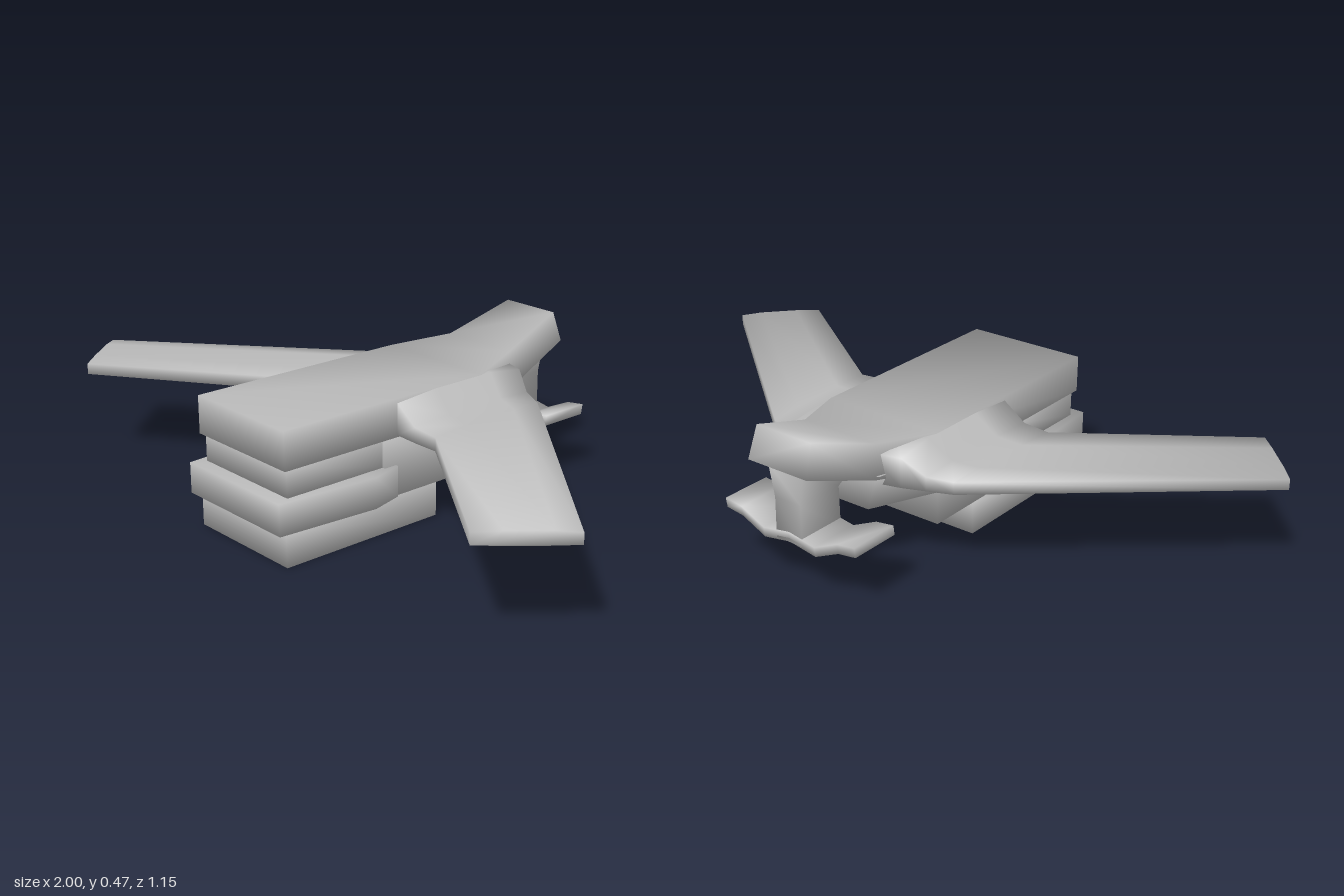
import * as THREE from 'three';
import { toCreasedNormals } from 'three/addons/utils/BufferGeometryUtils.js';

// Skin a row of equal-sized rings of [x, y, z] points, cap both ends and shade it smooth.
function loft(rings) {
  const tris = [];
  const n = rings[0].length;
  for (let i = 0; i < rings.length - 1; i++) {
    for (let j = 0; j < n; j++) {
      const k = (j + 1) % n;
      const a = rings[i][j], b = rings[i][k], c = rings[i + 1][k], d = rings[i + 1][j];
      tris.push([a, b, c], [a, c, d]);
    }
  }
  const first = rings[0], last = rings[rings.length - 1];
  for (let j = 1; j < n - 1; j++) {
    tris.push([first[0], first[j + 1], first[j]], [last[0], last[j], last[j + 1]]);
  }
  // Turn the skin outwards whatever the ring direction.
  const volume = tris.reduce((sum, [a, b, c]) => sum
    + a[0] * (b[1] * c[2] - b[2] * c[1])
    - a[1] * (b[0] * c[2] - b[2] * c[0])
    + a[2] * (b[0] * c[1] - b[1] * c[0]), 0);
  if (volume < 0) tris.forEach((t) => t.reverse());
  const geometry = new THREE.BufferGeometry();
  geometry.setAttribute('position', new THREE.Float32BufferAttribute(tris.flat(2), 3));
  return toCreasedNormals(geometry, Math.PI);
}

// Four-cornered section across the hull; top and bottom edges may differ in z.
const section = (zTop, zBottom, wTop, wBottom, yTop, yBottom) => [
  [-wTop, yTop, zTop], [wTop, yTop, zTop],
  [wBottom, yBottom, zBottom], [-wBottom, yBottom, zBottom],
];

// Blunt-edged wing section between a front point and a back point [x, z].
function wingSection(front, back, bottom, top) {
  const profile = [[0, 0.05], [0, 0.9], [0.3, 1], [0.75, 1],
    [1, 0.85], [1, 0.05], [0.7, 0], [0.25, 0]];
  return profile.map(([t, h]) => [
    THREE.MathUtils.lerp(front[0], back[0], t),
    THREE.MathUtils.lerp(bottom, top, h),
    THREE.MathUtils.lerp(front[1], back[1], t),
  ]);
}

export function createModel() {
  const model = new THREE.Group();
  model.name = 'aircraft';
  const hullGrey = new THREE.MeshStandardMaterial({ color: 0xbcbcbc });
  hullGrey.name = 'hull grey';

  const add = (name, geometry) => {
    const mesh = new THREE.Mesh(geometry, hullGrey);
    mesh.name = name;
    model.add(mesh);
  };
  // Straight block of hull with softly shaded edges
  const block = (name, w, y0, y1, z0, z1) => add(name, loft([
    section(z1, z1, w, w, y1, y0),
    section(z0, z0, w, w, y1, y0),
  ]));

  // Upper deck running back into the raised tail
  add('upperHullAndTail', loft([
    section(0.548, 0.548, 0.19, 0.19, 0.38, 0.27),
    section(-0.15, -0.15, 0.19, 0.19, 0.38, 0.27),
    section(-0.33, -0.35, 0.125, 0.14, 0.395, 0.3),
    section(-0.545, -0.575, 0.095, 0.102, 0.467, 0.375),
  ]));

  // Stepped hull below the deck
  block('recessedBand', 0.18, 0.19, 0.275, 0.2, 0.535);
  block('middleHull', 0.19, 0.1, 0.275, -0.145, 0.21);
  block('keel', 0.19, 0, 0.1, 0.02, 0.548);
  add('rearBelly', loft([
    section(-0.14, -0.14, 0.185, 0.185, 0.3, 0.195),
    section(-0.345, -0.335, 0.14, 0.1, 0.31, 0.195),
  ]));

  // Bulging collar round the nose
  add('noseCollar', loft([
    [0.577, 0.2], [0.27, 0.224], [0.17, 0.198],
  ].map(([z, w]) => section(z, z, w, w, 0.19, 0.1))));

  // Forward-swept wings, blended into the hull shoulders
  for (const side of [1, -1]) {
    const rings = [
      wingSection([0.1, 0.165], [0.1, -0.33], 0.27, 0.38),
      wingSection([0.19, 0.165], [0.19, -0.305], 0.27, 0.378),
      wingSection([0.26, 0.165], [0.25, -0.275], 0.27, 0.322),
      wingSection([0.34, 0.165], [0.32, -0.245], 0.27, 0.315),
      wingSection([0.83, 0.515], [1, 0.32], 0.274, 0.312),
    ].map((ring) => ring.map(([x, y, z]) => [x * side, y, z]));
    add(side > 0 ? 'leftWing' : 'rightWing', loft(rings));
  }

  // Strut hanging under the tail
  add('tailStrut', loft([
    [0.06, 0.31, -0.36, 0.365, -0.545],
    [0.045, 0.27, -0.39, 0.27, -0.54],
    [0.045, 0.15, -0.385, 0.15, -0.54],
  ].map(([w, yFront, zFront, yBack, zBack]) => [
    [-w, yFront, zFront], [w, yFront, zFront], [w, yBack, zBack], [-w, yBack, zBack],
  ])));

  // Wavy tailplane with upturned tips
  const stations = [[-0.228, 0.18], [-0.17, 0.172], [-0.09, 0.135], [0, 0.15],
    [0.09, 0.135], [0.17, 0.172], [0.228, 0.18]];
  add('tailplane', loft(stations.map(([x, y]) => [
    [x, y, -0.38], [x, y + 0.03, -0.385], [x, y + 0.03, -0.543], [x, y, -0.538],
  ])));

  return model;
}
